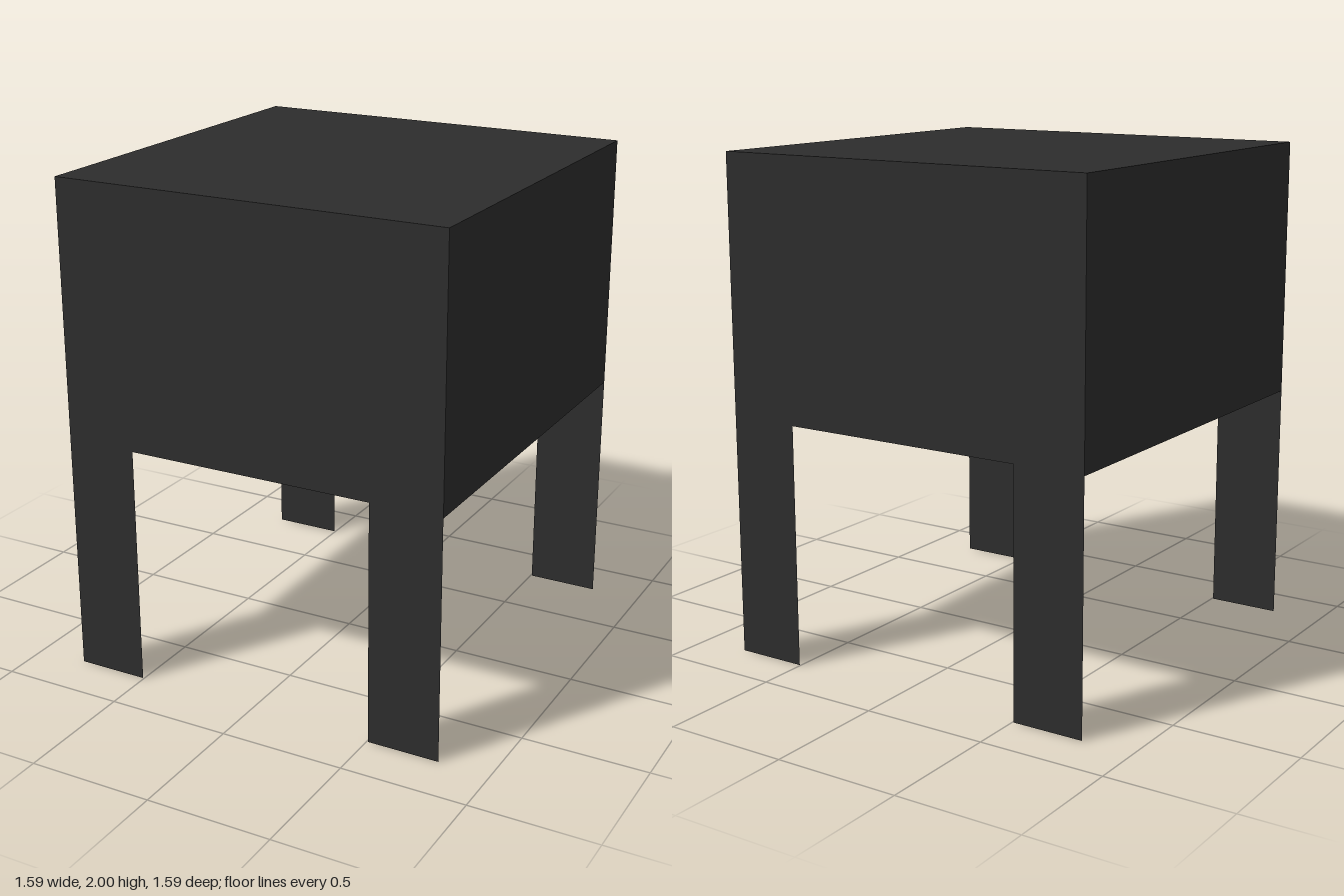
import * as THREE from 'three';

export function createModel() {
  const group = new THREE.Group();
  const charcoal = new THREE.MeshStandardMaterial({ color: 0x2d2d2d, side: THREE.DoubleSide });
  charcoal.name = 'charcoal';

  const half = 0.795;    // half width and half depth
  const bottom = 0.97;   // underside of the body
  const legWidth = 0.29;

  // closed box body
  const body = new THREE.Mesh(new THREE.BoxGeometry(2 * half, 2 - bottom, 2 * half), charcoal);
  body.name = 'body';
  body.position.y = (2 + bottom) / 2;
  group.add(body);

  // paper-thin legs, flush with the front and back faces
  const legGeometry = new THREE.PlaneGeometry(legWidth, bottom);
  for (const [end, sz] of [['front', 1], ['back', -1]]) {
    for (const [side, sx] of [['Left', 1], ['Right', -1]]) {
      const leg = new THREE.Mesh(legGeometry, charcoal);
      leg.name = `${end}${side}Leg`;
      leg.position.set(sx * (half - legWidth / 2), bottom / 2, sz * half);
      if (sz < 0) leg.rotation.y = Math.PI;
      group.add(leg);
    }
  }
  return group;
}
